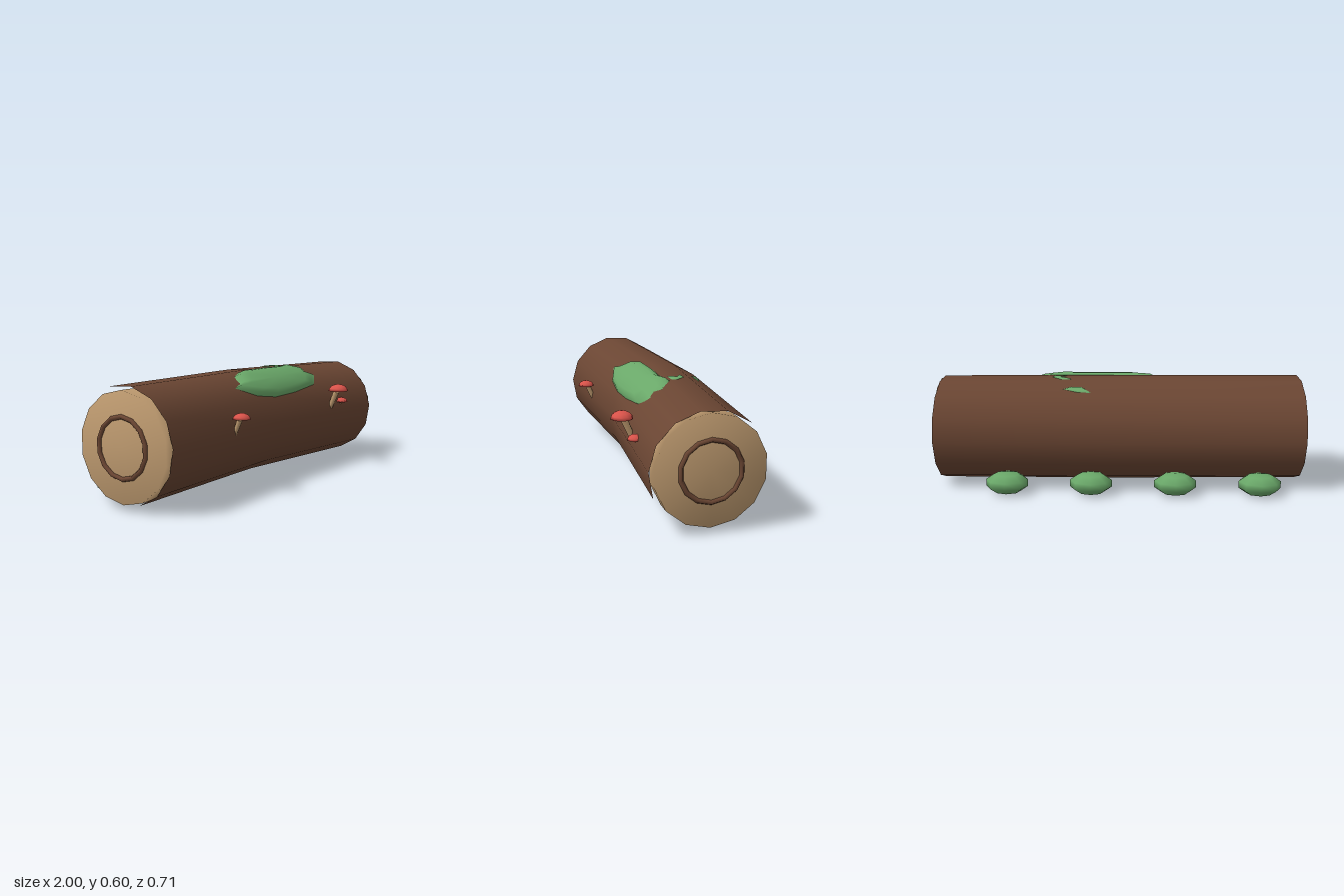
import * as THREE from 'three';

const SIDES = 14;
const RADIUS = 0.285;
// bark centre line: x, y, z and the tilt of each ring
const SPINE = [
  { x: -0.975, y: 0.307, z: 0, tilt: 0.043 },
  { x: 0, y: 0.311, z: -0.043, tilt: 0 },
  { x: 0.975, y: 0.295, z: 0, tilt: -0.043 },
];

function makeGeometry(positions, indices) {
  const g = new THREE.BufferGeometry();
  g.setAttribute('position', new THREE.Float32BufferAttribute(positions, 3));
  g.setIndex(indices);
  g.computeVertexNormals();
  return g;
}

function spineAt(x) {
  const [a, b] = x < 0 ? [SPINE[0], SPINE[1]] : [SPINE[1], SPINE[2]];
  const t = (x - a.x) / (b.x - a.x);
  return { y: a.y + (b.y - a.y) * t, z: a.z + (b.z - a.z) * t };
}

// open bent tube made from three rings
function barkGeometry() {
  const pos = [], idx = [];
  for (const s of SPINE) {
    for (let j = 0; j < SIDES; j++) {
      const a = (j / SIDES) * Math.PI * 2 + 0.052;
      const z = RADIUS * Math.cos(a);
      pos.push(s.x + s.tilt * z, s.y + RADIUS * Math.sin(a), s.z + z);
    }
  }
  for (let i = 0; i < SPINE.length - 1; i++) {
    for (let j = 0; j < SIDES; j++) {
      const a = i * SIDES + j, d = i * SIDES + ((j + 1) % SIDES);
      const b = a + SIDES, c = d + SIDES;
      idx.push(a, b, d, b, c, d);
    }
  }
  return makeGeometry(pos, idx);
}

// raised patch on the log, from an outline in x and z, clockwise from above
function mossGeometry(outline, cx, cz, height) {
  const pos = [], idx = [], n = outline.length;
  const add = (x, z, t) => {
    const s = spineAt(x);
    const r = 0.281 + height * Math.sqrt(1 - t ** 4);
    const sin = Math.max(-0.99, Math.min(0.99, (z - s.z) / 0.285));
    pos.push(x, s.y + r * Math.sqrt(1 - sin * sin), s.z + r * sin);
  };
  add(cx, cz, 0);
  const loops = [0.4, 0.7, 0.88, 1];
  loops.forEach((t, l) => {
    outline.forEach(([x, z], k) => {
      add(cx + (x - cx) * t, cz + (z - cz) * t, t);
      const k2 = (k + 1) % n, a = 1 + l * n + k, b = 1 + l * n + k2;
      if (l === 0) idx.push(0, b, a);
      else idx.push(a, a - n, b, a - n, b - n, b);
    });
  });
  return makeGeometry(pos, idx);
}

export function createModel() {
  const model = new THREE.Group();
  const material = (name, color) => {
    const m = new THREE.MeshStandardMaterial({ color });
    m.name = name;
    return m;
  };
  const bark = material('bark brown', 0x6b4633);
  const wood = material('cut wood tan', 0xbf9b70);
  const moss = material('moss green', 0x6aa869);
  const red = material('mushroom red', 0xd9534a);

  const add = (name, geometry, mat, parent = model) => {
    const mesh = new THREE.Mesh(geometry, mat);
    mesh.name = name;
    parent.add(mesh);
    return mesh;
  };

  add('barkTube', barkGeometry(), bark);

  // cut ends, each with a growth ring
  const faceGeo = new THREE.LatheGeometry(
    [[0.27, 0.9], [0.27, 0.985], [0, 0.985]].map(p => new THREE.Vector2(...p)), SIDES);
  faceGeo.rotateY(Math.PI / 2).rotateZ(-Math.PI / 2);
  const ringGeo = new THREE.TorusGeometry(0.147, 0.012, 6, SIDES);
  ringGeo.rotateZ(Math.PI / 2).rotateY(Math.PI / 2).translate(0.988, 0, 0);
  for (const side of ['left', 'right']) {
    const end = new THREE.Group();
    end.name = side + 'End';
    end.position.y = 0.3;
    end.rotation.y = side === 'left' ? 0 : Math.PI;
    add(side + 'CutFace', faceGeo, wood, end);
    add(side + 'GrowthRing', ringGeo, bark, end);
    model.add(end);
  }

  // moss on top of the log
  add('largeMossPatch', mossGeometry([
    [-0.31, 0.155], [-0.25, 0.135], [-0.2, 0.07], [-0.12, 0.035], [0.1, 0.028],
    [0.3, 0.035], [0.4, 0.018], [0.42, 0.05], [0.47, 0.085], [0.44, 0.12],
    [0.5, 0.15], [0.42, 0.195], [0.2, 0.205], [0, 0.205], [-0.17, 0.195],
  ], 0.1, 0.135, 0.028), moss);
  add('smallMossPatch', mossGeometry([
    [0.15, -0.2], [0.22, -0.195], [0.3, -0.17], [0.26, -0.155], [0.2, -0.16],
  ], 0.22, -0.176, 0.005), moss);
  add('tinyMossPatch', mossGeometry([
    [0.26, -0.075], [0.31, -0.08], [0.37, -0.03], [0.36, 0], [0.29, 0.005], [0.33, -0.03],
  ], 0.33, -0.042, 0.005), moss);

  // moss clumps along the back foot of the log
  const clumpGeo = new THREE.SphereGeometry(1, 8, 5);
  for (const x of [-0.75, -0.3, 0.15, 0.6]) {
    const clump = add('mossClump', clumpGeo, moss);
    clump.scale.set(0.118, 0.06, 0.09);
    clump.position.set(x, 0.06, -0.27);
  }

  // mushrooms leaning out of the front
  const capGeo = new THREE.LatheGeometry(
    [[0, 0], [1, 0], [0.92, 0.38], [0.71, 0.71], [0.38, 0.92], [0, 1]]
      .map(p => new THREE.Vector2(...p)), 10);
  const mushrooms = [
    { x: 0.52, y: 0.443, z: 0.3, r: 0.057, h: 0.04 },
    { x: -0.45, y: 0.394, z: 0.293, r: 0.045, h: 0.031 },
    { x: 0.63, y: 0.365, z: 0.263, r: 0.037, h: 0.027 },
  ];
  for (const { x, y, z, r, h } of mushrooms) {
    const mushroom = new THREE.Group();
    mushroom.name = 'mushroom';
    mushroom.position.set(x, y, z);
    const cap = add('mushroomCap', capGeo, red, mushroom);
    cap.scale.set(r, h, r);
    const length = r * 2.1;
    const stemGeo = new THREE.CylinderGeometry(r * 0.32, r * 0.24, length, 8);
    const stem = add('mushroomStem', stemGeo.translate(0, -length / 2, 0), wood, mushroom);
    stem.position.set(0, -0.006, -0.012);
    stem.rotation.x = 0.4;
    model.add(mushroom);
  }
  return model;
}
